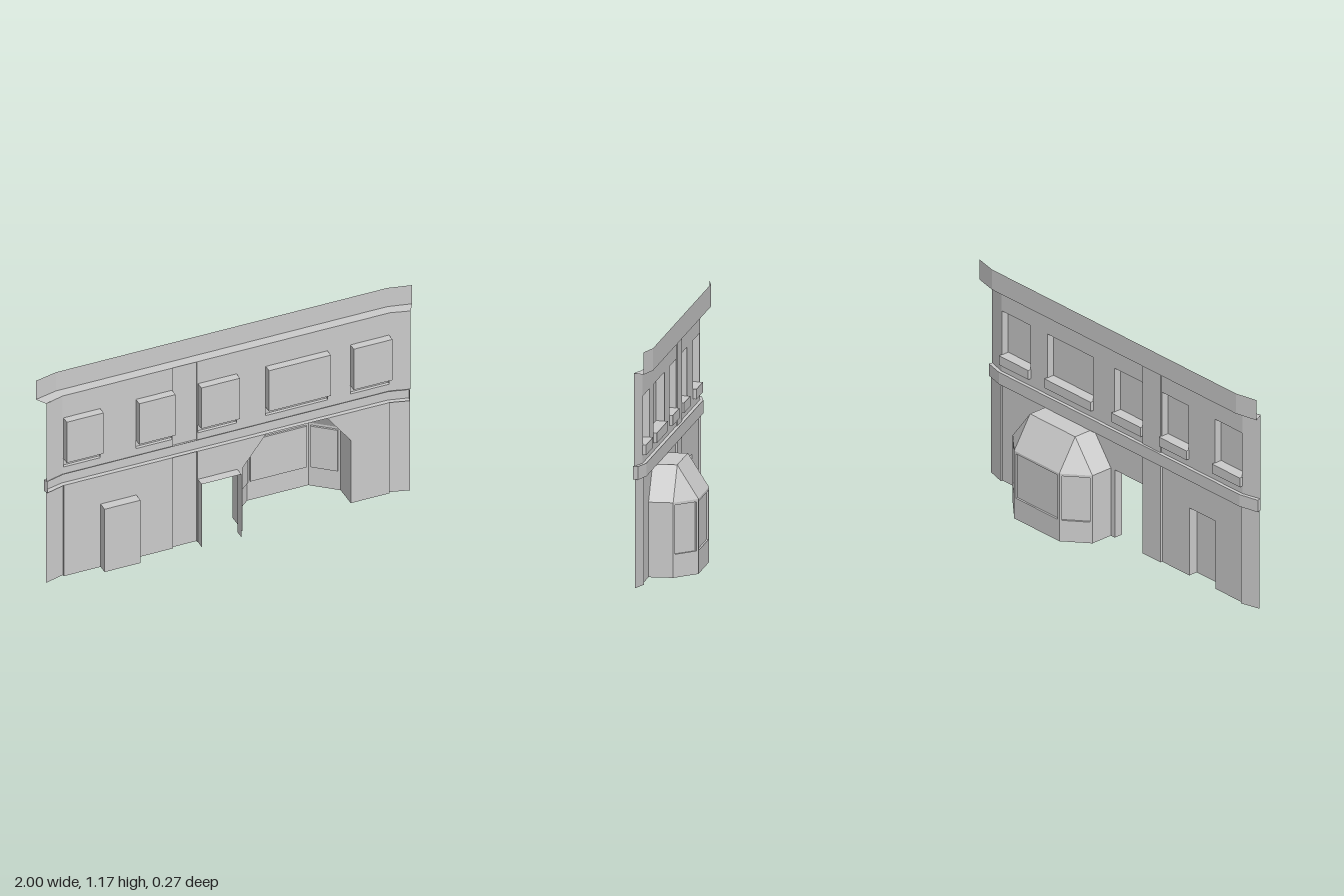
import * as THREE from 'three';

const material = new THREE.MeshStandardMaterial({ color: 0xcccccc, side: THREE.DoubleSide, flatShading: true });
const rect = (x0, x1, y0, y1) => [[x0, y0], [x1, y0], [x1, y1], [x0, y1]];

export function createModel() {
  const model = new THREE.Group();
  let part = model;
  const begin = (name) => {
    part = new THREE.Group();
    part.name = name;
    model.add(part);
  };
  const add = (geometry, name) => {
    const mesh = new THREE.Mesh(geometry, material);
    mesh.name = name;
    part.add(mesh);
    return mesh;
  };

  // Ruled sheet between two paths with equal numbers of points
  function ribbon(name, a, b) {
    const pos = [];
    for (let i = 0; i < a.length - 1; i++) {
      pos.push(...a[i], ...b[i], ...b[i + 1], ...a[i], ...b[i + 1], ...a[i + 1]);
    }
    const g = new THREE.BufferGeometry();
    g.setAttribute('position', new THREE.Float32BufferAttribute(pos, 3));
    g.computeVertexNormals();
    add(g, name);
  }
  // Path in plan [x, z] raised to height y
  const at = (path, y) => path.map(([x, z]) => [x, y, z]);
  const upright = (name, path, y0, y1) => ribbon(name, at(path, y0), at(path, y1));

  // Flat wall facing -z, with openings
  function wall(name, outline, holes, z) {
    const flip = (pts) => pts.map(([x, y]) => new THREE.Vector2(-x, y));
    const shape = new THREE.Shape(flip(outline));
    for (const h of holes) shape.holes.push(new THREE.Path(flip(h)));
    add(new THREE.ShapeGeometry(shape).rotateY(Math.PI).translate(0, 0, z), name);
  }
  // Reveal running around an outline from z0 to z1
  function reveal(name, outline, z0, z1) {
    ribbon(name, outline.map(([x, y]) => [x, y, z0]), outline.map(([x, y]) => [x, y, z1]));
  }

  const UP = 0.083, LOW = 0.088, PIER = 0.077;
  const bandLow = 0.535, bandTop = 0.6, wallTop = 1.06, top = 1.17;
  const windows = [[-0.865, -0.67], [-0.48, -0.288], [-0.15, 0.055], [0.21, 0.538], [0.66, 0.865]];

  // Upper storey
  begin('upperWall');
  const openings = windows.map(([a, b]) => rect(a, b, 0.64, 0.93));
  wall('upperWallRight', rect(-0.87, -0.285, bandTop, wallTop), openings.slice(0, 2), UP);
  wall('upperWallLeft', rect(-0.155, 0.87, bandTop, wallTop), openings.slice(2), UP);
  for (const s of [-1, 1]) {
    upright('upperWallEnd', [[s * 0.87, UP], [s * 0.968, 0.11]], bandTop, wallTop);
  }

  // Recessed windows with projecting hollow sills
  begin('windows');
  for (const [a, b] of windows) {
    const zBack = 0.124, zSill = 0.066, e = 0.003;
    wall('windowPane', rect(a, b, 0.69, 0.93), [], zBack);
    reveal('windowReveal', [[a, 0.69], [a, 0.93], [b, 0.93], [b, 0.69]], UP, zBack);
    ribbon('sillTop', at([[a - e, zSill], [b + e, zSill]], 0.69), at([[a, zBack], [b, zBack]], 0.69));
    upright('sillFront', [[a - e, UP], [a - e, zSill], [b + e, zSill], [b + e, UP]], 0.64, 0.69);
    ribbon('sillBottom', at([[a - e, zSill], [b + e, zSill]], 0.64), at([[a - e, UP], [b + e, UP]], 0.64));
  }

  // Pilaster on both storeys
  begin('pilaster');
  for (const [y0, y1, z] of [[0, bandLow, LOW], [bandTop, wallTop, UP]]) {
    upright('pilasterFace', [[-0.285, z], [-0.285, PIER], [-0.155, PIER], [-0.155, z]], y0, y1);
  }

  // Lower storey, cut around the passage and the bay
  begin('lowerWall');
  const door = [[-0.67, 0], [-0.67, 0.37], [-0.48, 0.37], [-0.48, 0]];
  const passage = [[-0.153, 0], [-0.153, 0.37], [0.057, 0.37], [0.057, 0]];
  const bayCut = [[0.085, 0], [0.085, 0.37], [0.21, 0.535], [0.535, 0.535], [0.66, 0.37], [0.66, 0]];
  wall('lowerWallRight', [[-0.865, 0], ...door, [-0.285, 0], [-0.285, bandLow], [-0.865, bandLow]], [], LOW);
  wall('lowerWallMiddle', [[0.057, 0], [0.085, 0], [0.085, 0.37], [0.21, bandLow], [-0.155, bandLow],
    [-0.155, 0], ...passage.slice(0, 3)], [], LOW);
  wall('lowerWallLeft', [[0.66, 0], [0.865, 0], [0.865, bandLow], [0.535, bandLow], [0.66, 0.37]], [], LOW);
  for (const s of [-1, 1]) {
    upright('lowerWallEnd', [[s * 0.865, LOW], [s * 0.865, 0.077], [s * 0.968, 0.105]], 0, bandLow);
  }

  // Door and open passage
  begin('door');
  wall('doorPanel', door, [], 0.137);
  reveal('doorReveal', door, LOW, 0.137);
  begin('passage');
  reveal('passageReveal', passage, LOW, 0.135);

  // String course between the storeys
  begin('stringCourse');
  const bandFront = [[-0.972, 0.09], [-0.868, 0.065], [0.868, 0.065], [0.968, 0.09]];
  const bandBack = [[-0.965, 0.115], [-0.865, LOW], [0.865, LOW], [0.962, 0.115]];
  upright('courseFace', [bandBack[0], ...bandFront, bandBack[3]], bandLow, bandTop);
  for (const y of [bandLow, bandTop]) ribbon('courseLedge', at(bandFront, y), at(bandBack, y));

  // Cornice: raised face on an overhanging ledge
  begin('cornice');
  const corniceFront = [[-1, 0.057], [-0.88, 0.03], [0.88, 0.03], [1, 0.057]];
  const corniceBack = [[-0.97, 0.11], [-0.87, UP], [0.87, UP], [0.968, 0.11]];
  upright('corniceFace', corniceFront, wallTop, top);
  ribbon('corniceSoffit', at(corniceFront, wallTop), at(corniceBack, wallTop));

  // Bay: each side is a panel, the three outer ones with a recessed window
  begin('bay');
  const plan = [[0.085, LOW], [0.085, -0.033], [0.21, -0.137], [0.535, -0.137], [0.66, -0.033], [0.66, LOW]];
  const eave = 0.37;
  for (let i = 0; i < 5; i++) {
    const [p, q] = [plan[i], plan[i + 1]];
    if (i === 0 || i === 4) {
      upright('baySide', [p, q], 0, eave);
      continue;
    }
    const len = Math.hypot(q[0] - p[0], q[1] - p[1]);
    const dir = [(q[0] - p[0]) / len, (q[1] - p[1]) / len];
    // Point along the panel, set inwards by d
    const pt = (u, y, d) => [p[0] + dir[0] * u - dir[1] * d, y, p[1] + dir[1] * u + dir[0] * d];
    const loop = (u0, u1, y0, y1, d) =>
      [[u0, y0], [u0, y1], [u1, y1], [u1, y0], [u0, y0]].map(([u, y]) => pt(u, y, d));
    const inset = 0.013;
    const outer = loop(0, len, 0, eave, 0);
    const edge = loop(inset, len - inset, 0.115, 0.357, 0);
    const pane = loop(inset, len - inset, 0.115, 0.357, 0.01);
    ribbon('bayFrame', outer, edge);
    ribbon('bayReveal', edge, pane);
    ribbon('bayPane', [pane[0], pane[3]], [pane[1], pane[2]]);
  }
  // Hipped bay roof with a flat top
  const crown = [[0.21, LOW], [0.21, -0.033], [0.21, -0.033], [0.535, -0.033], [0.535, -0.033], [0.535, LOW]];
  ribbon('bayRoofSlopes', at(plan, eave), at(crown, bayCut[2][1]));
  ribbon('bayRoofTop', at([crown[0], crown[1]], bandLow), at([crown[5], crown[4]], bandLow));

  return model;
}
